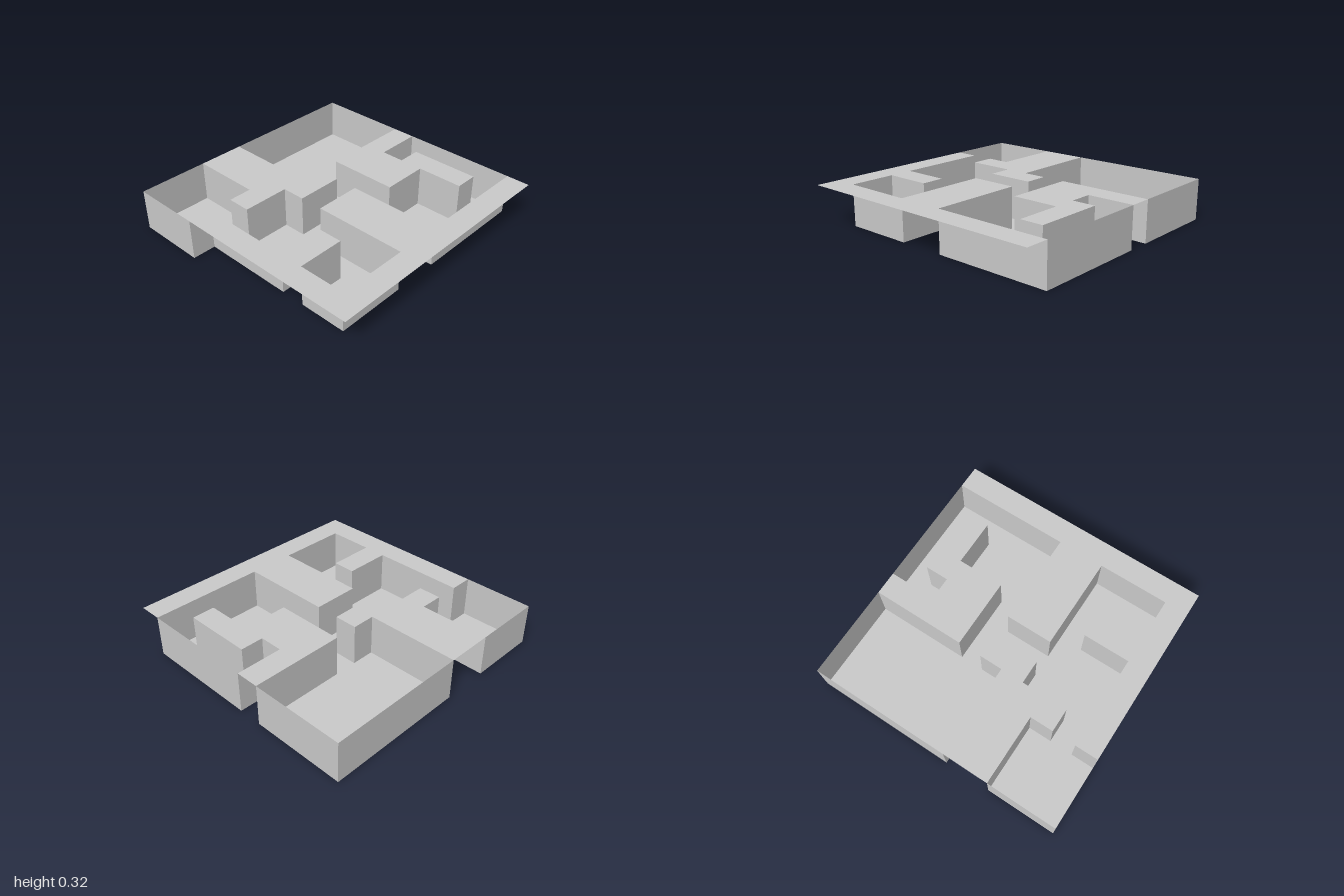
import * as THREE from 'three';

const CELL = 2 / 11; // the plan is an 11 x 11 grid
const HEIGHT = 0.32;
const material = new THREE.MeshStandardMaterial({ color: 0xcccccc, flatShading: true, side: THREE.DoubleSide });

// Plan outlines in grid cells: [x from the right side, z from the back]
const sunkenOutline = [
  [0, 0], [4, 0], [4, 4], [7, 4], [7, 2], [9, 2], [9, 1], [6, 1], [6, 2], [5, 2], [5, 0],
  [10, 0], [10, 5], [6, 5], [6, 7], [10, 7], [10, 10], [8, 10], [8, 8], [7, 8], [7, 10],
  [3, 10], [3, 11], [0, 11], [0, 8], [3, 8], [3, 9], [4, 9], [4, 7], [5, 7], [5, 5], [4, 5],
  [4, 6], [0, 6],
];
const raisedOutlines = {
  backPath: [[4, 0], [4, 4], [7, 4], [7, 2], [9, 2], [9, 1], [6, 1], [6, 2], [5, 2], [5, 0]],
  borderPath: [
    [10, 0], [10, 5], [6, 5], [6, 7], [10, 7], [10, 10], [8, 10], [8, 8], [7, 8], [7, 10],
    [3, 10], [3, 11], [11, 11], [11, 0],
  ],
  sidePath: [[0, 6], [4, 6], [4, 5], [5, 5], [5, 7], [4, 7], [4, 9], [3, 9], [3, 8], [0, 8]],
};

const toWorld = ([i, j]) => new THREE.Vector2(i * CELL - 1, j * CELL - 1);

// Flat horizontal sheet cut to an outline
function sheet(name, outline, y) {
  const shape = new THREE.Shape(outline.map(toWorld).map((p) => new THREE.Vector2(p.x, -p.y)));
  const mesh = new THREE.Mesh(new THREE.ShapeGeometry(shape).rotateX(-Math.PI / 2), material);
  mesh.name = name;
  mesh.position.y = y;
  return mesh;
}

// Upright wall standing on one edge of an outline
function wall(a, b) {
  const mesh = new THREE.Mesh(new THREE.PlaneGeometry(a.distanceTo(b), HEIGHT), material);
  mesh.name = 'wall';
  mesh.position.set((a.x + b.x) / 2, HEIGHT / 2, (a.y + b.y) / 2);
  mesh.rotation.y = Math.atan2(a.y - b.y, b.x - a.x);
  return mesh;
}

export function createModel() {
  const model = new THREE.Group();
  model.name = 'maze';

  // Sunken floor and the raised paths around it
  model.add(sheet('floor', sunkenOutline, 0));
  for (const [name, outline] of Object.entries(raisedOutlines)) model.add(sheet(name, outline, HEIGHT));

  // Walls all around the sunken floor
  const walls = new THREE.Group();
  walls.name = 'walls';
  const corners = sunkenOutline.map(toWorld);
  corners.forEach((a, k) => walls.add(wall(a, corners[(k + 1) % corners.length])));
  model.add(walls);

  return model;
}
